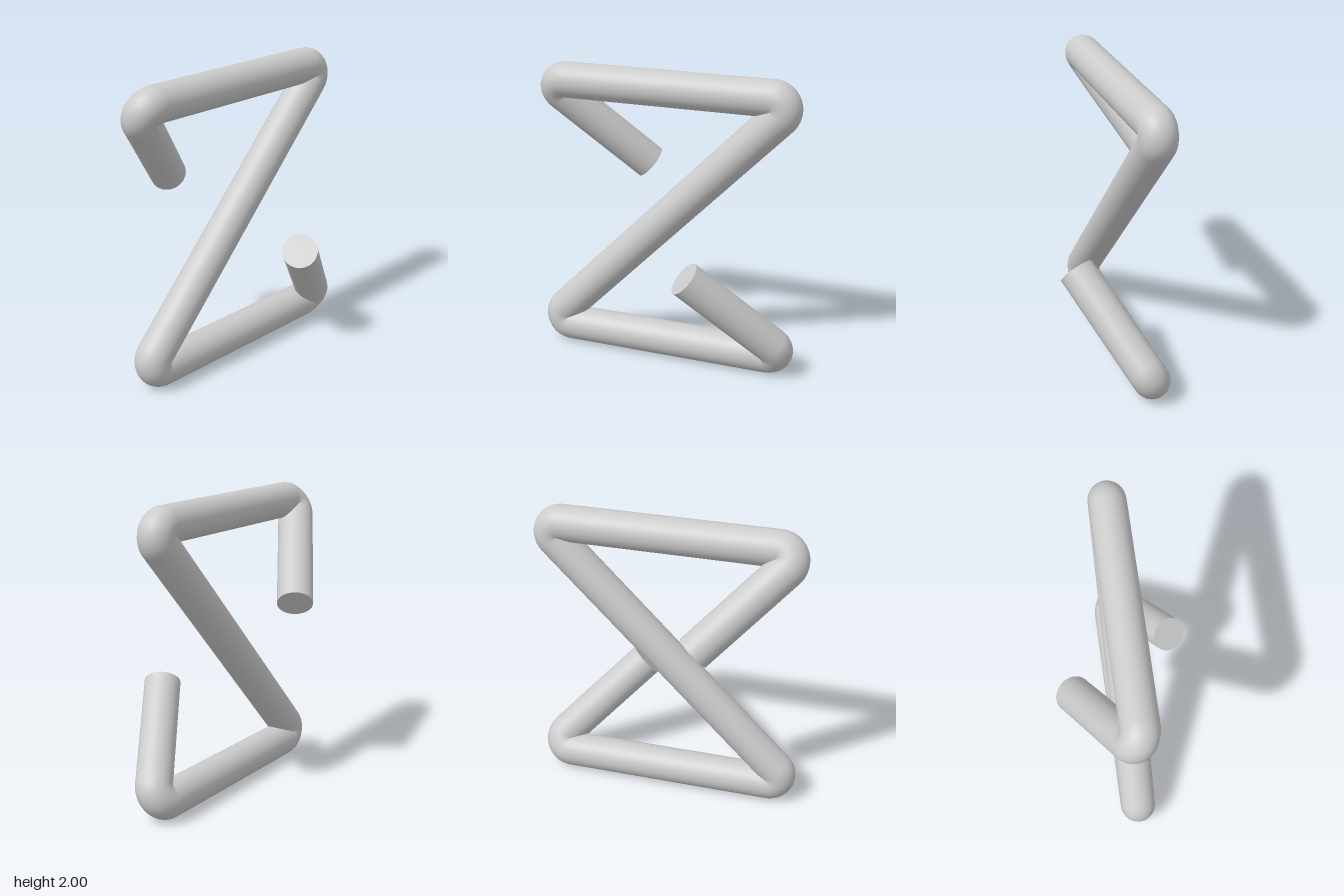
import * as THREE from 'three';

const RADIUS = 0.12;
const SIDES = 48;
const SETBACK = 0.165; // distance from a corner to where its bend starts

// Circular arc that rounds a corner between two straight runs
class BendCurve extends THREE.Curve {
  constructor(corner, dirA, dirB) {
    super();
    const half = dirA.angleTo(dirB) / 2;
    this.r = SETBACK * Math.tan(half);
    this.sweep = Math.PI / 2 - half;
    this.axis = dirA.clone().add(dirB).normalize();
    this.side = dirB.clone().sub(dirA).normalize();
    this.center = corner.clone().addScaledVector(this.axis, this.r / Math.sin(half));
  }
  getPoint(t, target = new THREE.Vector3()) {
    const a = (2 * t - 1) * this.sweep;
    return target.copy(this.center)
      .addScaledVector(this.axis, -this.r * Math.cos(a))
      .addScaledVector(this.side, this.r * Math.sin(a));
  }
}

export function createModel() {
  const group = new THREE.Group();
  group.name = 'bentRod';
  const material = new THREE.MeshStandardMaterial({ color: 0xcccccc });

  const add = (geometry, name) => {
    const mesh = new THREE.Mesh(geometry, material);
    mesh.name = name;
    group.add(mesh);
    return mesh;
  };

  // Centre line of the rod, from the lower front tip to the upper back tip
  const points = [
    [0.2625, 0.7375, 0.3565],
    [0.88, 0.12, 0],
    [-0.88, 0.12, 0],
    [0.88, 1.88, 0],
    [-0.88, 1.88, 0],
    [-0.2625, 1.2625, -0.3565],
  ].map((p) => new THREE.Vector3(...p));
  const last = points.length - 1;
  const runNames = ['lowerProng', 'bottomBar', 'diagonalBar', 'topBar', 'upperProng'];

  // Straight runs, capped only on the two prongs
  for (let i = 0; i < last; i++) {
    const dir = points[i + 1].clone().sub(points[i]).normalize();
    const a = points[i].clone().addScaledVector(dir, i === 0 ? 0 : SETBACK);
    const b = points[i + 1].clone().addScaledVector(dir, i === last - 1 ? 0 : -SETBACK);
    const inner = i > 0 && i < last - 1;
    const run = add(
      new THREE.CylinderGeometry(RADIUS, RADIUS, a.distanceTo(b), SIDES, 1, inner),
      runNames[i]
    );
    run.position.copy(a).add(b).multiplyScalar(0.5);
    run.quaternion.setFromUnitVectors(new THREE.Vector3(0, 1, 0), dir);
  }

  // Rounded bends at the corners
  for (let i = 1; i < last; i++) {
    const dirA = points[i - 1].clone().sub(points[i]).normalize();
    const dirB = points[i + 1].clone().sub(points[i]).normalize();
    const curve = new BendCurve(points[i], dirA, dirB);
    add(new THREE.TubeGeometry(curve, 24, RADIUS, SIDES, false), 'bend' + i);
  }

  return group;
}
